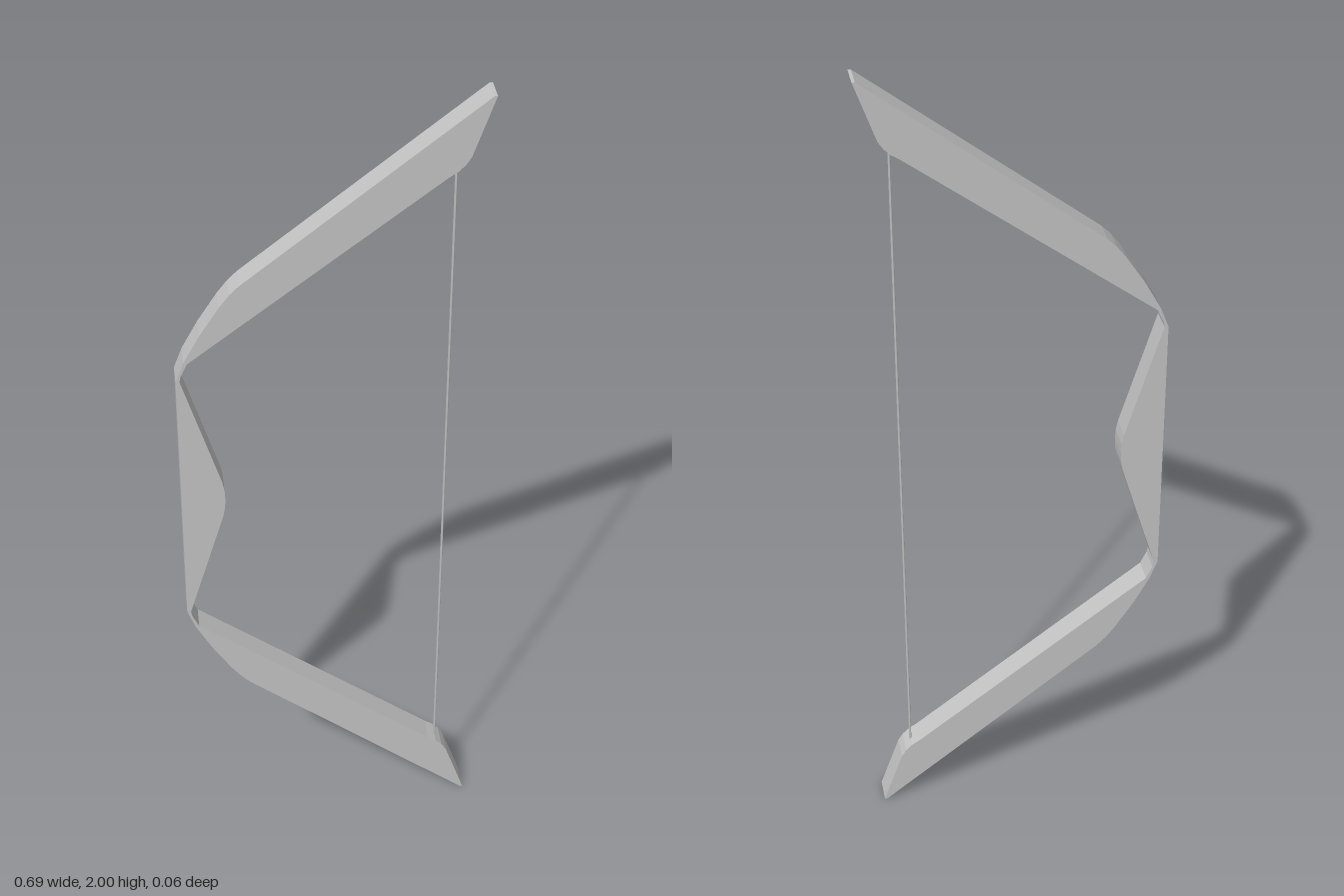
import * as THREE from 'three';

export function createModel() {
  const group = new THREE.Group();
  group.name = 'bow';
  const grey = new THREE.MeshStandardMaterial({ color: 0xc4c4c4 });
  grey.name = 'light grey';

  // Upper half outline as [x, height above the middle]
  const inner = [
    [-0.246, 0], [-0.247, 0.025], [-0.252, 0.05], [-0.338, 0.335], [-0.335, 0.35], [-0.32, 0.382],
    [0.25, 0.815], [0.27, 0.828], [0.285, 0.843], [0.297, 0.862], [0.345, 1],
  ];
  const outer = [
    [0.338, 1], [-0.2, 0.577], [-0.222, 0.555], [-0.245, 0.525], [-0.29, 0.455],
    [-0.328, 0.385], [-0.347, 0.335],
  ];
  const upper = [...inner, ...outer];

  // Mirror the upper half to close the outline
  const lower = upper.slice(1).reverse().map(([x, y]) => [x, -y]);
  const outline = [...upper, ...lower].map(([x, y]) => new THREE.Vector2(x, y + 1));

  // Grip and limbs in one flat-sided body
  const depth = 0.062;
  const bodyGeometry = new THREE.ExtrudeGeometry(new THREE.Shape(outline), {
    depth, bevelEnabled: false,
  });
  bodyGeometry.translate(0, 0, -depth / 2);
  const body = new THREE.Mesh(bodyGeometry, grey);
  body.name = 'gripAndLimbs';
  group.add(body);

  // Thin flat string between the limb tips
  const string = new THREE.Mesh(new THREE.CylinderGeometry(0.007, 0.007, 1.66, 8), grey);
  string.name = 'string';
  string.scale.x = 0.4;
  string.position.set(0.27, 1, 0);
  group.add(string);

  return group;
}
